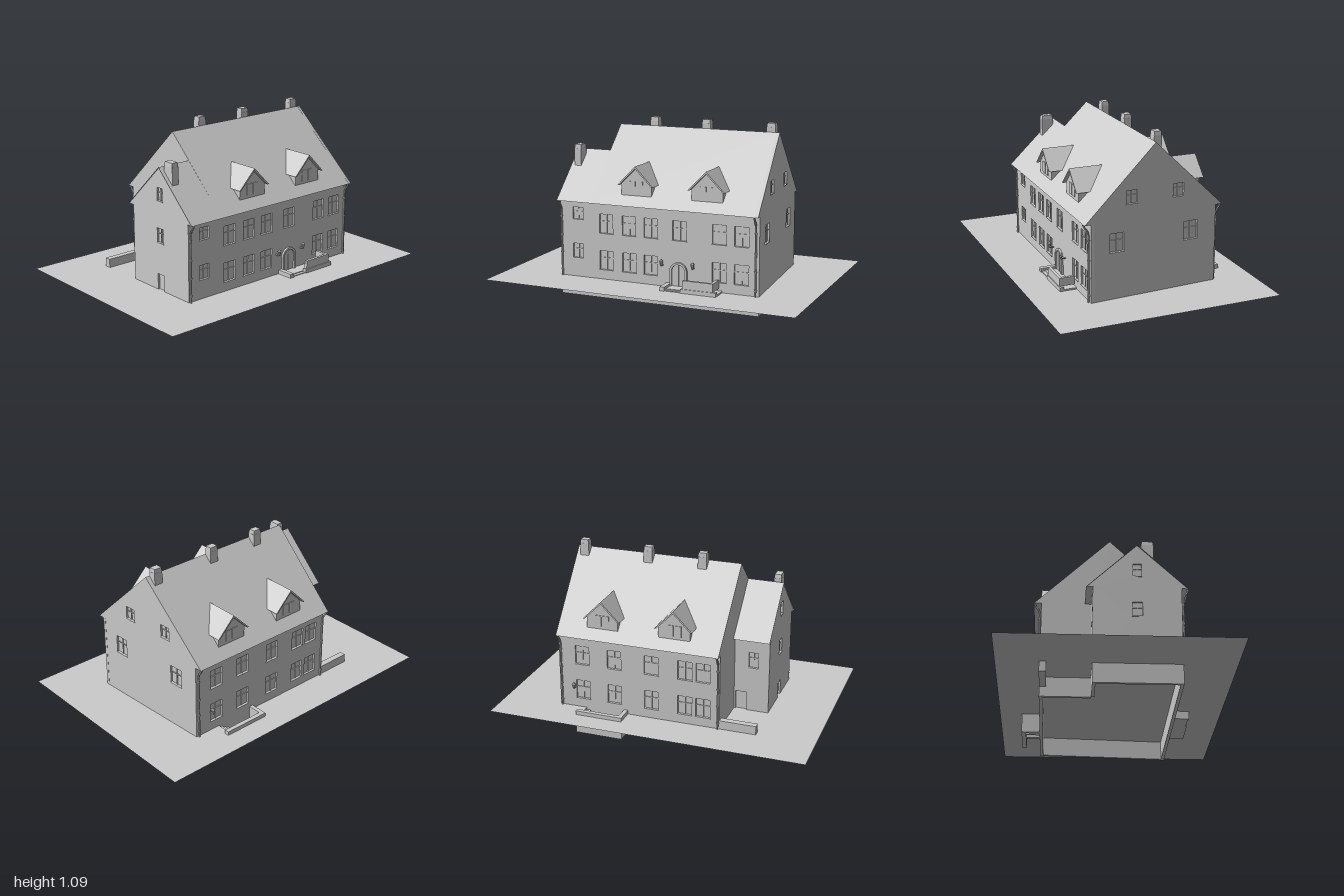
import * as THREE from 'three';

const mat = new THREE.MeshStandardMaterial({ color: 0xcccccc, flatShading: true, side: THREE.DoubleSide });
const GROUND = 0.12, EAVE = 0.6, RIDGE = 1.035, RIDGE_Z = -0.032;
const SKEW = 0.0605; // the right gable is not square to the front
const rightX = (z) => 0.655 + SKEW * (z - RIDGE_Z);

function add(parent, name, geo, x = 0, y = 0, z = 0) {
  const m = new THREE.Mesh(geo, mat);
  m.name = name;
  m.position.set(x, y, z);
  parent.add(m);
  return m;
}

// box given by its limits
function block(parent, name, x0, x1, y0, y1, z0, z1) {
  return add(parent, name, new THREE.BoxGeometry(x1 - x0, y1 - y0, z1 - z0),
    (x0 + x1) / 2, (y0 + y1) / 2, (z0 + z1) / 2);
}

const poly = (pts) => new THREE.Shape(pts.map((p) => new THREE.Vector2(p[0], p[1])));
const rect = (x0, x1, y0, y1) => [[x0, y0], [x1, y0], [x1, y1], [x0, y1]];
const extrude = (shape, depth) =>
  new THREE.ExtrudeGeometry(shape, { depth, bevelEnabled: false, curveSegments: 10 });

// wall with recessed openings [centre, bottom, width, height, isDoor]; outside faces local +z
function wall(parent, name, pts, openings, x, z, turn) {
  const g = new THREE.Group();
  g.name = name;
  g.position.set(x, 0, z);
  g.rotation.y = turn;
  const shape = poly(pts);
  for (const [u, y, w, h, door] of openings) {
    const a = u - w / 2, b = u + w / 2;
    shape.holes.push(new THREE.Path(rect(a, b, y, y + h).map((p) => new THREE.Vector2(...p))));
    block(g, door ? 'doorLeaf' : 'windowPane', a, b, y, y + h, -0.016, -0.012);
    if (door) continue;
    block(g, 'windowMullion', u - 0.003, u + 0.003, y, y + h, -0.012, -0.007);
    block(g, 'windowTransom', a, b, y + h * 0.6, y + h * 0.6 + 0.005, -0.012, -0.007);
    block(g, 'windowSill', a - 0.003, b + 0.003, y - 0.004, y, -0.01, 0.004);
  }
  add(g, name + 'Face', extrude(shape, 0.02), 0, 0, -0.02);
  parent.add(g);
}

// four-cornered surface
function quad(parent, name, a, b, c, d) {
  const geo = new THREE.BufferGeometry();
  geo.setAttribute('position', new THREE.Float32BufferAttribute([...a, ...b, ...c, ...a, ...c, ...d], 3));
  geo.computeVertexNormals();
  add(parent, name, geo);
}

// two slopes and two eave soffits between left end x0 and right end xr(z)
function roof(parent, name, x0, xr, zf, zr, zb, ridge) {
  const L = (y, z) => [x0, y, z], R = (y, z) => [xr(z), y, z];
  quad(parent, name + 'Front', L(EAVE, zf), R(EAVE, zf), R(ridge, zr), L(ridge, zr));
  quad(parent, name + 'Back', R(EAVE, zb), L(EAVE, zb), L(ridge, zr), R(ridge, zr));
  for (const [z, d] of [[zf, -0.04], [zb, 0.045]])
    quad(parent, name + 'Soffit', L(EAVE, z), L(EAVE, z + d), R(EAVE, z + d), R(EAVE, z));
}

// dormer; local origin on the eave line, facing +z
function dormer(parent, x, z, turn) {
  const g = new THREE.Group();
  g.name = 'dormer';
  g.position.set(x, 0, z);
  g.rotation.y = turn;
  const body = [[-0.1, 0.655], [0.1, 0.655], [0.1, 0.73], [0, 0.828], [-0.1, 0.73]];
  add(g, 'dormerBody', extrude(poly(body), 0.19), 0, 0, -0.25);
  const cover = [[-0.118, 0.72], [0, 0.84], [0.118, 0.72], [0.106, 0.72], [0, 0.826], [-0.106, 0.72]];
  add(g, 'dormerRoof', extrude(poly(cover), 0.215), 0, 0, -0.255);
  for (const s of [-1, 1])
    block(g, 'dormerWindow', s * 0.025 - 0.02, s * 0.025 + 0.02, 0.675, 0.745, -0.06, -0.056);
  parent.add(g);
}

function chimney(parent, x, z, y0, y1, w, d) {
  block(parent, 'chimneyStack', x - w / 2, x + w / 2, y0, y1 - 0.025, z - d / 2, z + d / 2);
  const cap = add(parent, 'chimneyCap', new THREE.CylinderGeometry(0.62, 0.7, 0.03, 4, 1).rotateY(Math.PI / 4), x, y1 - 0.015, z);
  cap.scale.set(w, 1, d);
}

// downpipe from eave to ground; s is the outward z direction
function downpipe(parent, x, z, s) {
  const pts = [[0.54, 0], [0.56, 0.008], [0.585, 0.026], [0.6, 0.032]];
  const curve = new THREE.CatmullRomCurve3([[GROUND, 0], [0.3, 0], [0.5, 0], ...pts].map(([y, d]) => new THREE.Vector3(x, y, z + s * d)));
  add(parent, 'downpipe', new THREE.TubeGeometry(curve, 24, 0.006, 6));
  for (const y of [0.16, 0.27, 0.38, 0.5])
    add(parent, 'pipeClamp', new THREE.CylinderGeometry(0.009, 0.009, 0.008, 6), x, y, z);
}

function lamp(parent, x, z, s) {
  block(parent, 'lampArm', x - 0.003, x + 0.003, 0.25, 0.256, Math.min(z, z + s * 0.03), Math.max(z, z + s * 0.03));
  add(parent, 'lampShade', new THREE.CylinderGeometry(0.012, 0.006, 0.03, 6), x, 0.268, z + s * 0.03);
  add(parent, 'lampTop', new THREE.ConeGeometry(0.014, 0.012, 6), x, 0.289, z + s * 0.03);
}

export function createModel() {
  const house = new THREE.Group();
  house.name = 'house';

  // ground with the opening for the cellar stairs
  const plot = poly(rect(-1, 1, -0.69, 0.69));
  plot.holes.push(new THREE.Path(rect(0.205, 0.48, 0.44, 0.525).map((p) => new THREE.Vector2(...p))));
  add(house, 'ground', new THREE.ShapeGeometry(plot).rotateX(-Math.PI / 2), 0, GROUND, 0);

  // front and back walls
  const front = [];
  for (const x of [-0.315, -0.16, -0.015, 0.175, 0.43, 0.57]) {
    front.push([x, 0.41, 0.09, 0.12]);
    if (x !== 0.175) front.push([x, 0.18, 0.09, 0.12]);
  }
  front.push([-0.51, 0.485, 0.07, 0.075], [-0.51, 0.24, 0.07, 0.09]);
  wall(house, 'frontWall', rect(-0.63, rightX(0.38), 0, EAVE), front, 0, 0.38, 0);
  const back = [];
  for (const x of [0.475, 0.265, 0.025, -0.19, -0.305])
    back.push([-x, 0.41, 0.09, 0.12], [-x, 0.18, 0.09, 0.12]);
  wall(house, 'backWall', rect(-rightX(-0.44), 0.41, 0, EAVE), back, 0, -0.44, Math.PI);

  // right gable
  wall(house, 'rightGable', [[-0.412, 0], [0.408, 0], [0.408, EAVE], [0.453, EAVE], [0, RIDGE], [-0.452, EAVE], [-0.412, EAVE]],
    [[-0.247, 0.41, 0.09, 0.115], [0.24, 0.41, 0.09, 0.115], [-0.152, 0.69, 0.07, 0.08], [0.153, 0.69, 0.07, 0.08]],
    0.655, RIDGE_Z, Math.PI / 2 + SKEW);

  // left gable of the main block, open to the wing
  wall(house, 'leftGable', [[-0.44, 0], [-0.14, 0], [-0.14, EAVE], [0.42, EAVE], [RIDGE_Z, RIDGE], [-0.485, EAVE], [-0.44, EAVE]],
    [], -0.41, 0, -Math.PI / 2);

  // lower wing
  wall(house, 'wingGable', [[-0.14, 0], [0.38, 0], [0.38, EAVE], [0.42, EAVE], [0.12, 0.885], [-0.18, EAVE], [-0.14, EAVE]],
    [[0.12, GROUND, 0.06, 0.1, true], [0.12, 0.42, 0.06, 0.09], [0.12, 0.68, 0.05, 0.08]], -0.63, 0, -Math.PI / 2);
  wall(house, 'wingBackWall', rect(0.41, 0.63, 0, EAVE), [[0.455, GROUND, 0.07, 0.12, true], [0.53, 0.41, 0.06, 0.1]], 0, -0.14, Math.PI);

  // roofs, dormers and chimneys
  roof(house, 'mainRoof', -0.41, rightX, 0.42, RIDGE_Z, -0.485, RIDGE);
  roof(house, 'wingRoof', -0.637, () => -0.41, 0.42, 0.12, -0.18, 0.887);
  for (const x of [-0.118, 0.342]) {
    dormer(house, x, 0.42, 0);
    dormer(house, x, -0.485, Math.PI);
  }
  for (const x of [-0.175, 0.175, 0.598]) chimney(house, x, -0.057, 0.97, 1.09, 0.056, 0.048);
  chimney(house, -0.59, 0.182, 0.79, 0.925, 0.046, 0.075);

  // downpipes and lamps
  for (const x of [-0.62, 0.66]) downpipe(house, x, 0.388, 1);
  for (const x of [-0.4, 0.615]) downpipe(house, x, -0.448, -1);
  for (const x of [0.067, 0.27]) lamp(house, x, 0.38, 1);
  lamp(house, 0.525, -0.44, -1);

  // arched entrance
  const arch = (r) => {
    const s = new THREE.Shape();
    s.moveTo(-r, 0.13);
    s.lineTo(r, 0.13);
    s.lineTo(r, 0.222);
    s.absarc(0, 0.222, r, 0, Math.PI, false);
    return s;
  };
  const surround = arch(0.056);
  surround.holes.push(arch(0.043));
  add(house, 'doorSurround', extrude(surround, 0.014), 0.17, 0, 0.38);
  add(house, 'frontDoor', extrude(arch(0.043), 0.004), 0.17, 0, 0.38);
  block(house, 'doorRail', 0.168, 0.172, 0.13, 0.262, 0.384, 0.388);

  // entrance landing with low parapet
  block(house, 'landing', 0.12, 0.45, 0.07, 0.13, 0.38, 0.46);
  block(house, 'landingStep', 0.12, 0.235, 0.07, 0.125, 0.46, 0.48);
  block(house, 'landingSideWall', 0.09, 0.12, 0.07, 0.145, 0.38, 0.487);
  block(house, 'landingFrontWall', 0.225, 0.45, 0.07, 0.145, 0.46, 0.487);
  block(house, 'parapetFront', 0.235, 0.43, 0.145, 0.197, 0.464, 0.482);
  block(house, 'parapetSide', 0.412, 0.43, 0.145, 0.197, 0.385, 0.464);

  // cellar stairs behind the house
  block(house, 'stairOuterWall', 0.18, 0.48, 0, 0.145, -0.553, -0.525);
  block(house, 'stairEndWall', 0.18, 0.205, 0, 0.145, -0.525, -0.44);
  for (let i = 0; i < 8; i++)
    block(house, 'cellarStep', 0.455 - i * 0.025, 0.48 - i * 0.025, Math.max(0, 0.1 - i * 0.0155), 0.12 - i * 0.0145, -0.525, -0.44);

  // garden wall
  block(house, 'gardenWall', -0.637, -0.41, 0.06, 0.175, -0.44, -0.4);
  return house;
}
